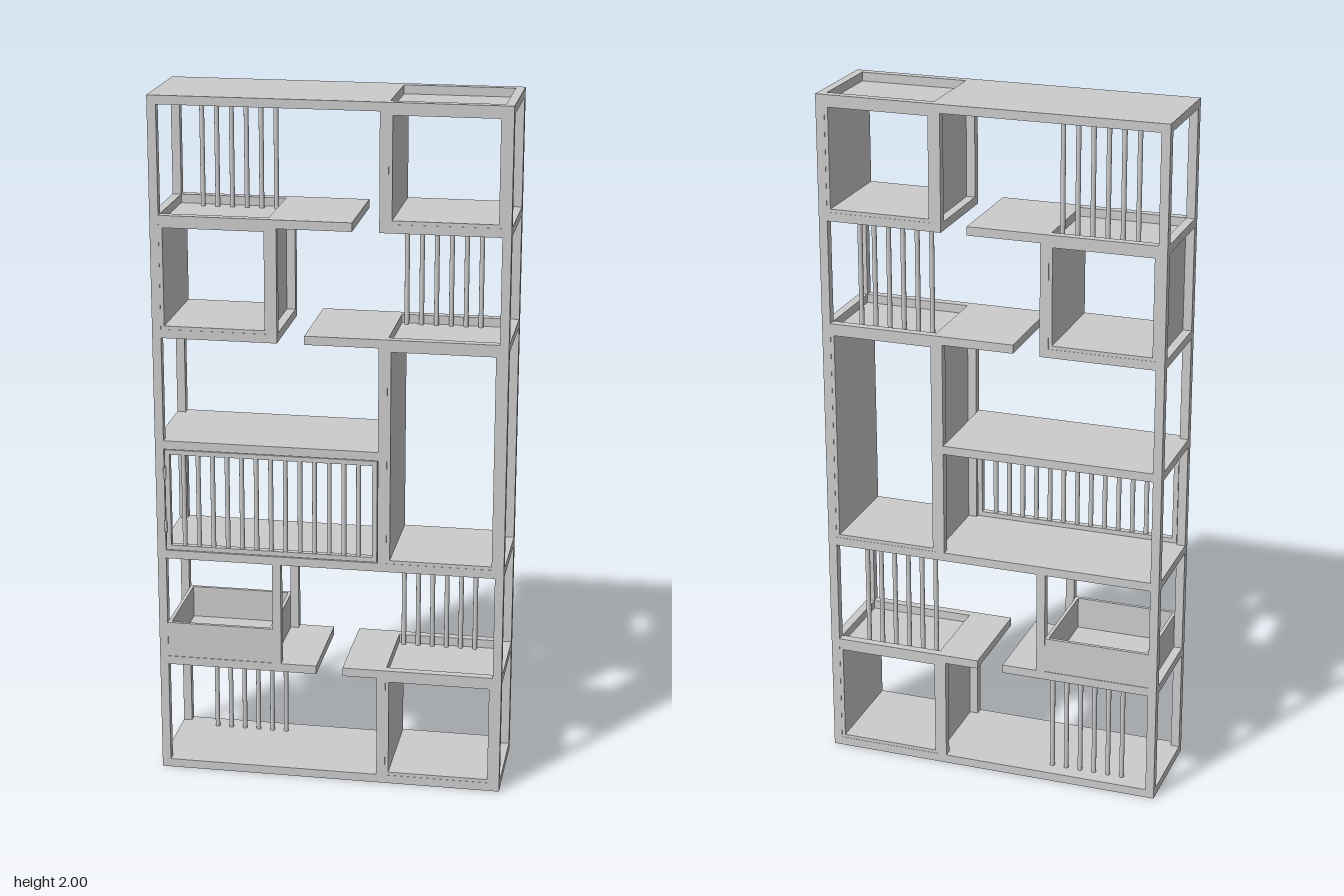
import * as THREE from 'three';

const T = 0.025;   // square frame bar
const S = 0.01;    // sheet thickness
const D = 0.15;    // half depth
const W = 0.5;     // half width
// Top heights of the shelf levels
const L = [0.025, 0.355, 0.685, 1.016, 1.343, 1.668, 2.0];

export function createModel() {
  const root = new THREE.Group();
  root.name = 'bookcase';
  const mat = new THREE.MeshStandardMaterial({ color: 0xcccccc });

  const group = (name) => {
    const g = new THREE.Group();
    g.name = name;
    root.add(g);
    return g;
  };

  // Box given by its limits on each axis
  const block = (parent, name, x0, x1, y0, y1, z0, z1) => {
    const m = new THREE.Mesh(new THREE.BoxGeometry(x1 - x0, y1 - y0, z1 - z0), mat);
    m.position.set((x0 + x1) / 2, (y0 + y1) / 2, (z0 + z1) / 2);
    m.name = name;
    parent.add(m);
  };

  // Front and back upright at the same x
  const posts = (parent, x0, y0, y1) => {
    block(parent, 'frontPost', x0, x0 + T, y0, y1, D - T, D);
    block(parent, 'backPost', x0, x0 + T, y0, y1, -D, T - D);
  };

  // Rectangular ring of bars, optionally closed by a board flush with the top
  const shelf = (name, x0, x1, top, board = true) => {
    const g = group(name);
    block(g, 'frontRail', x0, x1, top - T, top, D - T, D);
    block(g, 'backRail', x0, x1, top - T, top, -D, T - D);
    for (const x of [x0, x1 - T]) block(g, 'sideRail', x, x + T, top - T, top, T - D, D - T);
    if (board) block(g, 'board', x0 + T, x1 - T, top - 0.007, top, T - D, D - T);
  };

  // Open cubby: sheet lining inside a frame, plus the inner uprights
  const cubby = (name, x0, x1, bottom, top) => {
    shelf(name + 'Base', x0, x1, bottom, false);
    shelf(name + 'Top', x0, x1, top, false);
    const g = group(name);
    posts(g, x0 < 0 ? x1 - T : x0, bottom, top - T);
    const a = x0 + T, b = x1 - T, c = bottom, d = top - T, z = D - 0.001;
    block(g, 'leftLining', b - S, b, c, d, -z, z);
    block(g, 'rightLining', a, a + S, c, d, -z, z);
    block(g, 'floorLining', a + S, b - S, c, c + S, -z, z);
    block(g, 'ceilingLining', a + S, b - S, d - S, d, -z, z);
  };

  // Evenly spaced upright rods
  const rods = (parent, n, xStart, step, y0, y1, z) => {
    const geo = new THREE.CylinderGeometry(0.007, 0.007, y1 - y0, 12);
    for (let i = 0; i < n; i++) {
      const m = new THREE.Mesh(geo, mat);
      m.position.set(xStart + i * step, (y0 + y1) / 2, z);
      m.name = 'rod';
      parent.add(m);
    }
  };

  // Corner posts
  const corners = group('cornerPosts');
  posts(corners, -W, 0, 2);
  posts(corners, W - T, 0, 2);

  // Cubbies: three on one side, one on the other
  const IN = 0.14, BOX = -0.145;
  cubby('lowerCubby', IN, W, L[0], L[1]);
  cubby('tallCubby', IN, W, L[2], L[4]);
  cubby('upperCubby', IN, W, L[5], L[6]);
  cubby('sideCubby', -W, BOX, L[4], L[5]);

  // Boarded shelves and short cantilevered ends
  shelf('bottomShelf', -W, IN, L[0]);
  shelf('trayShelf', -W, BOX, L[1]);
  shelf('trayShelfEnd', BOX, -0.037, L[1]);
  shelf('lowerShelfEnd', 0.04, IN, L[1]);
  shelf('middleShelf', -W, IN, L[2]);
  shelf('screenShelf', -W, IN, L[3]);
  shelf('middleShelfEnd', -0.068, IN, L[4]);
  shelf('upperShelfEnd', BOX, 0.065, L[5]);
  shelf('topShelf', -W, IN, L[6]);

  // Open tray with its side posts
  const tray = group('tray');
  posts(tray, BOX - 0.02, L[1], L[2] - T);
  const tx0 = -W + T, tx1 = BOX - 0.02, ty0 = L[1], ty1 = 0.46, tz = D - 0.002;
  block(tray, 'trayFloor', tx0, tx1, ty0, ty0 + S, -tz, tz);
  for (const x of [tx0, tx1 - S]) block(tray, 'traySide', x, x + S, ty0 + S, ty1, -tz, tz);
  for (const z of [-tz, tz - S]) block(tray, 'trayEnd', tx0 + S, tx1 - S, ty0 + S, ty1, z, z + S);

  // Rod dividers towards the back
  const dividers = group('rodDividers');
  rods(dividers, 6, -0.405, 0.0425, L[5] - T, 1.993, -0.1);
  rods(dividers, 6, -0.388, 0.0425, L[0], L[1] - 0.007, -0.1);
  rods(dividers, 6, 0.18, 0.0425, L[4] - T, L[5], -0.115);
  rods(dividers, 6, 0.18, 0.0425, L[1] - T, L[2], -0.115);

  // Hinged rod door at the front
  const door = group('rodDoor');
  const dx0 = -W + T + 0.002, dx1 = IN - 0.002, dy0 = L[2] + 0.002, dy1 = L[3] - T - 0.002;
  const b = 0.014, z0 = D - 0.02, z1 = D - 0.001;
  for (const x of [dx0, dx1 - b]) block(door, 'doorStile', x, x + b, dy0, dy1, z0, z1);
  for (const y of [dy0, dy1 - b]) block(door, 'doorRail', dx0 + b, dx1 - b, y, y + b, z0, z1);
  rods(door, 13, -0.42, 0.042, dy0 + b, dy1 - b, (z0 + z1) / 2);
  for (const y of [0.76, 0.92]) {
    const hinge = new THREE.Mesh(new THREE.CylinderGeometry(0.004, 0.004, 0.035, 10), mat);
    hinge.position.set(dx0, y, D + 0.002);
    hinge.name = 'hinge';
    door.add(hinge);
  }
  return root;
}
